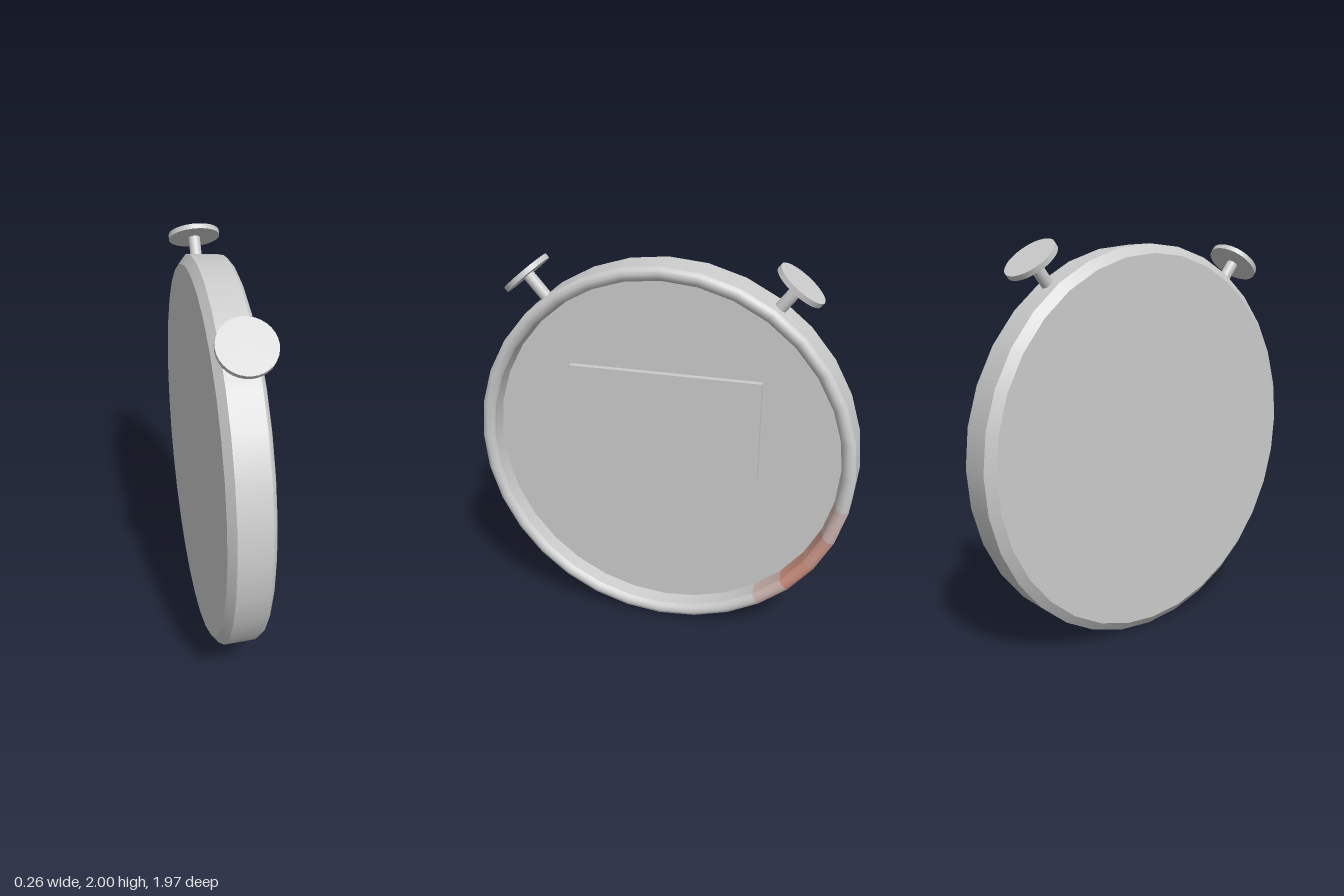
import * as THREE from 'three';

const SEG = 32;          // sides around the case
const CY = 0.987;        // height of the case axis
const GREY = new THREE.Color(0xcccccc);
const TINT = new THREE.Color(0xcf8f7d);
const grey = new THREE.MeshStandardMaterial({ color: 0xcccccc });

// Revolve [radius, x] points about the x axis
function revolve(name, profile, material = grey, first = 0, count = SEG) {
  const step = (Math.PI * 2) / SEG;
  const geo = new THREE.LatheGeometry(
    profile.map(([r, x]) => new THREE.Vector2(r, x)), count, first * step, count * step);
  geo.rotateZ(-Math.PI / 2);
  const mesh = new THREE.Mesh(geo, material);
  mesh.name = name;
  return mesh;
}

// Push button: stem and flat round cap, placed radially and tilted in the y-z plane
function pushButton(name, angleDeg, tiltDeg) {
  const button = new THREE.Group();
  button.name = name;
  const stem = new THREE.Mesh(new THREE.CylinderGeometry(0.03, 0.03, 0.18, 16), grey);
  stem.name = 'buttonStem';
  stem.position.y = -0.11;
  const cap = new THREE.Mesh(new THREE.CylinderGeometry(0.132, 0.132, 0.026, 32), grey);
  cap.name = 'buttonCap';
  cap.position.y = -0.013;
  button.add(stem, cap);
  const a = THREE.MathUtils.degToRad(angleDeg);
  button.position.set(0, 1.134 * Math.cos(a), 1.134 * Math.sin(a));
  button.rotation.x = THREE.MathUtils.degToRad(tiltDeg);
  return button;
}

export function createModel() {
  const model = new THREE.Group();
  model.name = 'stopwatch';
  const body = new THREE.Group();
  body.name = 'case';
  body.position.y = CY;
  model.add(body);

  // Case shell, split where the edges are sharp
  body.add(
    revolve('backPlate', [[0, -0.12], [0.94, -0.12]]),
    revolve('backBevel', [[0.94, -0.12], [0.985, -0.085]]),
    revolve('sideWall', [[0.985, -0.085], [0.977, 0.072]]),
    revolve('dial', [[0.9, -0.005], [0, -0.005]]),
  );

  // Rounded front rim and inner wall, with a tinted stretch low on one side
  const rim = [[0.977, 0.072], [0.965, 0.088], [0.945, 0.095], [0.922, 0.088], [0.91, 0.07]];
  const innerWall = [[0.91, 0.07], [0.9, -0.005]];
  const tintStart = 11, tints = [0.45, 0.95, 0.85, 0.4];
  const addRim = (suffix, material, first, count) => body.add(
    revolve('frontRim' + suffix, rim, material, first, count),
    revolve('innerWall' + suffix, innerWall, material, first, count));
  addRim('', grey, tintStart + tints.length, SEG - tints.length);
  tints.forEach((t, i) => addRim('Tint',
    new THREE.MeshStandardMaterial({ color: GREY.clone().lerp(TINT, t) }), tintStart + i, 1));

  // Raised rectangular display
  const display = new THREE.Mesh(new THREE.BoxGeometry(0.04, 0.528, 0.98), grey);
  display.name = 'display';
  display.position.set(0.006, 1.149 - CY, 0);
  body.add(display);

  // Two push buttons on top
  body.add(pushButton('frontButton', 38.4, 40.5), pushButton('backButton', -35, -38));
  return model;
}
